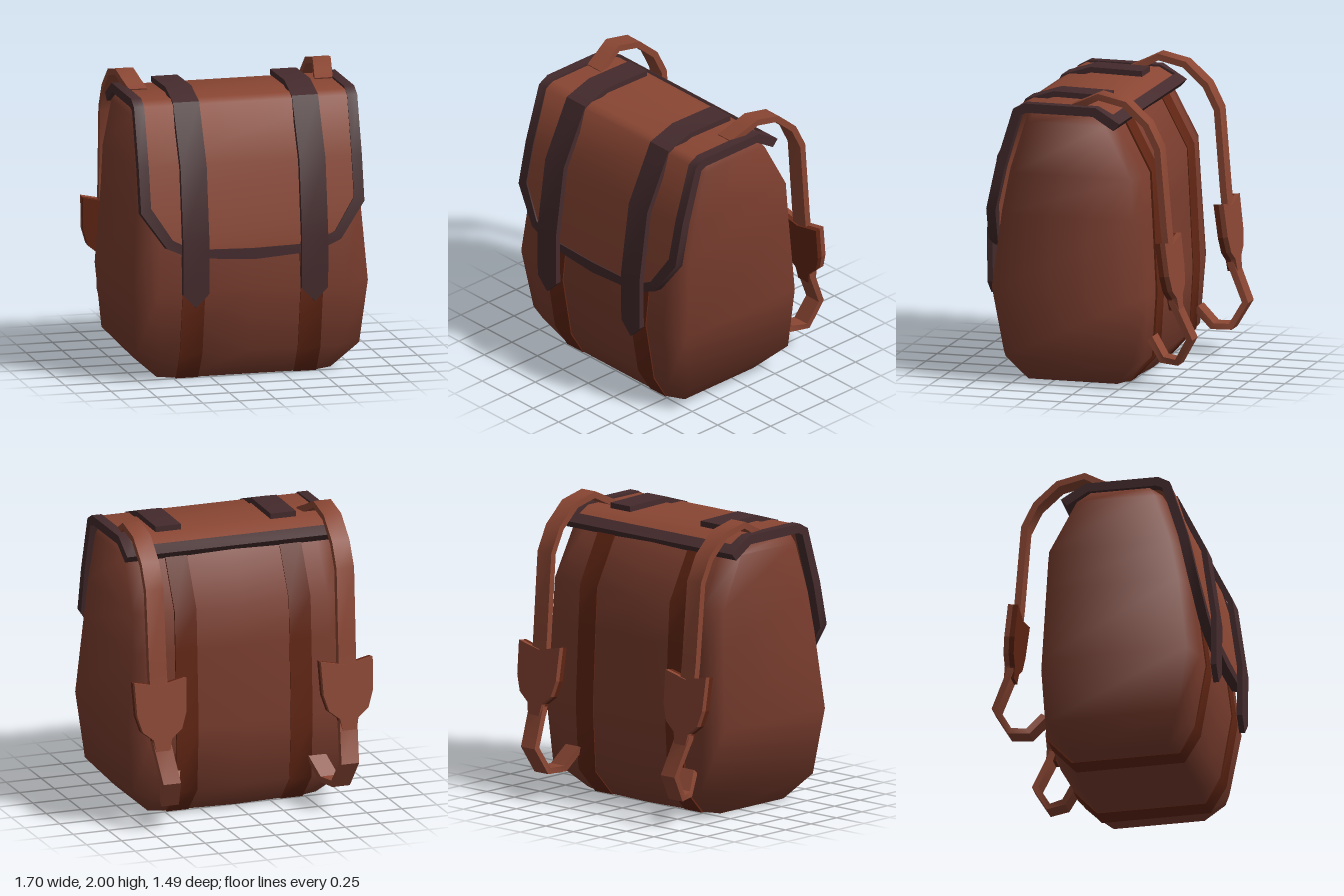
import * as THREE from 'three';
import { toCreasedNormals } from 'three/addons/utils/BufferGeometryUtils.js';

const material = (color) => new THREE.MeshStandardMaterial({ color, roughness: 0.9 });
const leather = material(0x7a3d2e);
const tan = material(0x8a4633);
const dark = material(0x452b2d);
const stripeRed = material(0x622614);

// Skin a list of equal-length rings; capped at both ends, or looped back to the start.
function loft(rings, crease, loop = false) {
  const n = rings[0].length, pos = rings.flat(2), index = [];
  const count = loop ? rings.length : rings.length - 1;
  for (let r = 0; r < count; r++) {
    for (let i = 0; i < n; i++) {
      const j = (i + 1) % n, a = r * n, b = ((r + 1) % rings.length) * n;
      index.push(a + i, a + j, b + j, a + i, b + j, b + i);
    }
  }
  if (!loop) {
    const last = (rings.length - 1) * n;
    for (let i = 1; i < n - 1; i++) {
      index.push(0, i + 1, i, last, last + i, last + i + 1);
    }
  }
  // Turn the faces outward if the enclosed volume is negative.
  const p = (i) => new THREE.Vector3().fromArray(pos, i * 3);
  let volume = 0;
  for (let i = 0; i < index.length; i += 3) {
    volume += p(index[i]).dot(p(index[i + 1]).cross(p(index[i + 2])));
  }
  if (volume < 0) index.reverse();
  const geo = new THREE.BufferGeometry();
  geo.setAttribute('position', new THREE.Float32BufferAttribute(pos, 3));
  geo.setIndex(index);
  return toCreasedNormals(geo, crease);
}

// Flat band along a path of [x, y, z, width]; its width runs along x.
function ribbon(path, thickness, crease = 0.7) {
  const rings = path.map(([x, y, z, w], i) => {
    const dir = new THREE.Vector2();
    for (const [a, b] of [[i - 1, i], [i, i + 1]]) {
      if (!path[a] || !path[b]) continue;
      dir.add(new THREE.Vector2(path[b][1] - path[a][1], path[b][2] - path[a][2]).normalize());
    }
    dir.normalize();
    const ny = -dir.y * thickness / 2, nz = dir.x * thickness / 2, h = w / 2;
    return [[x - h, y + ny, z + nz], [x + h, y + ny, z + nz],
      [x + h, y - ny, z - nz], [x - h, y - ny, z - nz]];
  });
  return loft(rings, crease);
}

export function createModel() {
  const group = new THREE.Group();
  const add = (name, geo, mat) => {
    const mesh = new THREE.Mesh(geo, mat);
    mesh.name = name;
    group.add(mesh);
    return mesh;
  };

  // Body: rings of [y, half width, back z, front z]
  const levels = [
    [0, 0.6, -0.26, 0.49], [0.18, 0.77, -0.42, 0.595], [0.62, 0.81, -0.445, 0.67],
    [1.15, 0.775, -0.42, 0.605], [1.43, 0.765, -0.405, 0.55],
    [1.78, 0.755, -0.22, 0.44], [1.85, 0.74, -0.12, 0.4],
  ];
  add('body', loft(levels.map(([y, w, b, f]) => {
    const c = w * 0.8;
    const half = [[c, y, f], [w, y, f - 0.06], [w, y, b + 0.07], [c, y, b + 0.03]];
    const mirrored = half.map(([x, yy, z]) => [-x, yy, z]).reverse();
    return [[0, y, f], ...half, [0, y, b], ...mirrored];
  }), 1.4), leather);

  // Flap panel: [half width, y, z] from the back edge over the top and down the front
  const flap = [
    [0.72, 1.81, -0.2], [0.72, 1.875, -0.08], [0.72, 1.875, 0.42], [0.72, 1.85, 0.47],
    [0.72, 1.47, 0.58], [0.72, 1.18, 0.642], [0.58, 0.95, 0.68], [0.43, 0.88, 0.685],
  ];
  add('flapPanel', ribbon(flap.map(([w, y, z]) => [0, y, z, w * 2]), 0.035, 0.9), tan);

  // Flap trim: a closed band of [outer x, y, z, inner x, y, z, normal y, normal z]
  const rim = [
    [0.77, 1.78, -0.235, 0.7, 1.83, -0.17, 0.75, -0.66],
    [0.77, 1.875, -0.08, 0.7, 1.875, -0.08, 0.95, -0.3],
    [0.77, 1.875, 0.4, 0.7, 1.875, 0.4, 0.97, 0.25],
    [0.77, 1.845, 0.46, 0.7, 1.845, 0.46, 0.6, 0.8],
    [0.77, 1.47, 0.575, 0.7, 1.47, 0.575, 0.24, 0.97],
    [0.77, 1.17, 0.64, 0.7, 1.2, 0.635, 0.2, 0.98],
    [0.6, 0.93, 0.675, 0.56, 0.985, 0.672, 0.12, 0.99],
    [0.44, 0.86, 0.68, 0.42, 0.915, 0.678, 0.08, 1],
    [0, 0.83, 0.682, 0, 0.905, 0.68, 0.06, 1],
  ];
  const rimRing = (side) => ([ox, oy, oz, ix, iy, iz, ny, nz]) => {
    const dy = ny * 0.032, dz = nz * 0.032;
    return [[ox * side, oy + dy, oz + dz], [ix * side, iy + dy, iz + dz],
      [ix * side, iy - dy, iz - dz], [ox * side, oy - dy, oz - dz]];
  };
  const mirroredRim = rim.slice(0, -1).reverse();
  add('flapTrim', loft([...rim.map(rimRing(1)), ...mirroredRim.map(rimRing(-1))], 0.8, true), dark);

  // Pad outline, shared by both sides
  const padShape = new THREE.Shape([
    [0, 0.2], [0.185, 0.24], [0.175, 0.01], [0.14, -0.1], [0.065, -0.16], [0.05, -0.24],
    [-0.05, -0.24], [-0.065, -0.16], [-0.14, -0.1], [-0.175, 0.01], [-0.185, 0.24],
  ].map(([x, y]) => new THREE.Vector2(x, y)));

  for (const [s, side] of [[1, 'left'], [-1, 'right']]) {
    // Stripe down the front, under the base and up the back
    const front = levels.slice(0, 6).reverse().map(([y, , , f]) => [s * 0.407, Math.max(y, 0.005), f, 0.155]);
    const back = levels.slice(0, 6).map(([y, , b]) => [s * 0.407, Math.max(y, 0.005), b + 0.019, 0.155]);
    add(side + 'Stripe', ribbon([...front, ...back], 0.018, 1.4), stripeRed);

    // Closing strap with a pointed tip
    add(side + 'ClosingStrap', ribbon([
      [1.918, -0.08, 0.18], [1.925, 0.28, 0.18], [1.865, 0.47, 0.18], [1.475, 0.66, 0.18],
      [0.975, 0.73, 0.18], [0.62, 0.727, 0.18], [0.53, 0.726, 0.004],
    ].map(([y, z, w]) => [s * 0.41, y, z, w]), 0.038), dark);

    // Shoulder strap
    add(side + 'ShoulderStrap', ribbon([
      [0.64, 1.88, 0.1], [0.66, 1.925, 0], [0.68, 1.975, -0.1], [0.68, 1.935, -0.28],
      [0.68, 1.8, -0.43], [0.68, 1.64, -0.51], [0.675, 1.1, -0.555], [0.665, 0.6, -0.61],
      [0.635, 0.35, -0.72], [0.61, 0.185, -0.625], [0.57, 0.19, -0.51], [0.52, 0.32, -0.41],
    ].map(([x, y, z]) => [s * x, y, z, 0.125]), 0.045), tan);

    // Strap pad: tan outside, red lining towards the body
    for (const [name, z, mat] of [['Pad', -0.035, tan], ['PadLining', 0, stripeRed]]) {
      const geo = new THREE.ExtrudeGeometry(padShape, { depth: 0.035, bevelEnabled: false });
      geo.translate(0, 0, z);
      const pad = add(side + name, geo, mat);
      pad.position.set(s * 0.665, 0.79, -0.592);
      pad.rotation.x = 0.12;
    }
  }
  return group;
}
